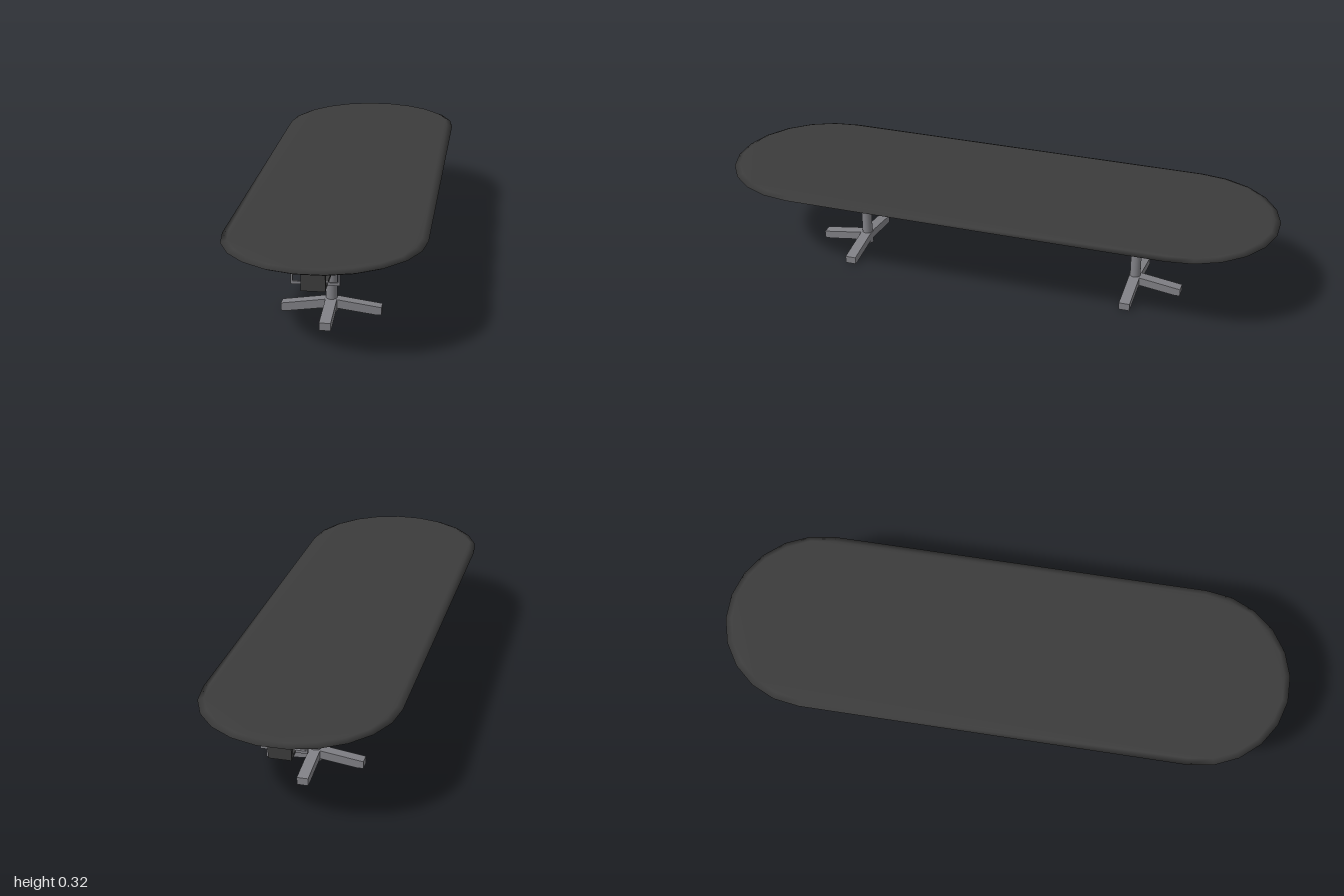
import * as THREE from 'three';

const dark = new THREE.MeshStandardMaterial({ name: 'charcoal', color: 0x3c3c3c });
const metal = new THREE.MeshStandardMaterial({ name: 'grey metal', color: 0x808085 });

function add(parent, name, geometry, material, x = 0, y = 0, z = 0) {
  const mesh = new THREE.Mesh(geometry, material);
  mesh.name = name;
  mesh.position.set(x, y, z);
  parent.add(mesh);
  return mesh;
}

// Box given by its lower and upper corners
function box(parent, name, material, a, b) {
  const size = b.map((v, i) => v - a[i]);
  const mid = b.map((v, i) => (v + a[i]) / 2);
  return add(parent, name, new THREE.BoxGeometry(...size), material, ...mid);
}

// Stadium outline in (x, z)
function stadium(radius, straight, steps = 11) {
  const pts = [];
  for (const end of [1, -1]) {
    for (let i = 0; i <= steps; i++) {
      const a = (i / steps) * Math.PI;
      pts.push(new THREE.Vector2(end * radius * Math.cos(a), end * (straight + radius * Math.sin(a))));
    }
  }
  return pts;
}

// Slab whose rim comes to a knife edge at mid height
function tabletopGeometry() {
  const loops = [[0.306, 0.305], [0.316, 0.326], [0.325, 0.305]]
    .map(([y, r]) => stadium(r, 0.674).map((p) => [p.x, y, p.y]));
  const n = loops[0].length;
  const index = [];
  for (let k = 0; k < 2; k++) {
    for (let i = 0; i < n; i++) {
      const j = (i + 1) % n;
      const a = k * n + i, b = k * n + j, c = a + n, d = b + n;
      index.push(a, c, b, b, c, d);
    }
  }
  for (const [a, b, c] of THREE.ShapeUtils.triangulateShape(stadium(0.305, 0.674), [])) {
    index.push(a, b, c, 2 * n + a, 2 * n + c, 2 * n + b);
  }
  const g = new THREE.BufferGeometry();
  g.setAttribute('position', new THREE.Float32BufferAttribute(loops.flat(2), 3));
  g.setIndex(index);
  g.computeVertexNormals();
  return g;
}

// Sloping foot running along +x, centred on z
function footGeometry() {
  const profile = [[0, 0.018], [0.02, 0.017], [0.145, 0], [0.167, 0], [0.167, 0.026], [0.02, 0.047], [0, 0.047]];
  const shape = new THREE.Shape(profile.map(([x, y]) => new THREE.Vector2(x, y)));
  const g = new THREE.ExtrudeGeometry(shape, { depth: 0.038, bevelEnabled: false });
  return g.translate(0, 0, -0.019);
}

export function createModel() {
  const table = new THREE.Group();
  table.name = 'table';
  add(table, 'tabletop', tabletopGeometry(), dark);

  // Cable tray with upturned ends
  box(table, 'tray', dark, [-0.037, 0.234, -0.915], [0.037, 0.243, 0.915]);
  for (const s of [-1, 1]) {
    const end = box(table, 'trayEnd', dark, [-0.037, 0.232, -0.008], [0.037, 0.288, 0.008]);
    end.position.z = s * 0.912;
  }

  // Hangers, longest near the middle
  for (const [z, x] of [[0.155, 0.12], [0.46, 0.096], [0.87, 0.072]]) {
    for (const sz of [-1, 1]) {
      for (const sx of [-1, 1]) {
        const hanger = new THREE.Group();
        hanger.name = 'hanger';
        hanger.position.z = sz * z;
        hanger.rotation.y = sx < 0 ? Math.PI : 0;
        table.add(hanger);
        box(hanger, 'hangerArm', metal, [0.03, 0.235, -0.004], [x + 0.003, 0.244, 0.004]);
        box(hanger, 'hangerPost', metal, [x - 0.003, 0.24, -0.004], [x + 0.003, 0.3, 0.004]);
        add(hanger, 'hangerCollar', new THREE.CylinderGeometry(0.007, 0.007, 0.007, 12), metal, x, 0.297, 0);
        add(hanger, 'hangerDisc', new THREE.CylinderGeometry(0.012, 0.012, 0.007, 16), metal, x, 0.303, 0);
      }
    }
  }

  // Two pedestals, each with three feet: both sides and outward
  for (const s of [-1, 1]) {
    const pedestal = new THREE.Group();
    pedestal.name = 'pedestal';
    pedestal.position.z = s * 0.514;
    pedestal.rotation.y = s > 0 ? 0 : Math.PI;
    table.add(pedestal);
    add(pedestal, 'column', new THREE.CylinderGeometry(0.0185, 0.0185, 0.19, 24), metal, 0, 0.139, 0);
    add(pedestal, 'hub', new THREE.CylinderGeometry(0.021, 0.021, 0.043, 24), metal, 0, 0.0255, 0);
    for (const turn of [0, -Math.PI / 2, Math.PI]) {
      add(pedestal, 'foot', footGeometry(), metal).rotation.y = turn;
    }
  }
  return table;
}
